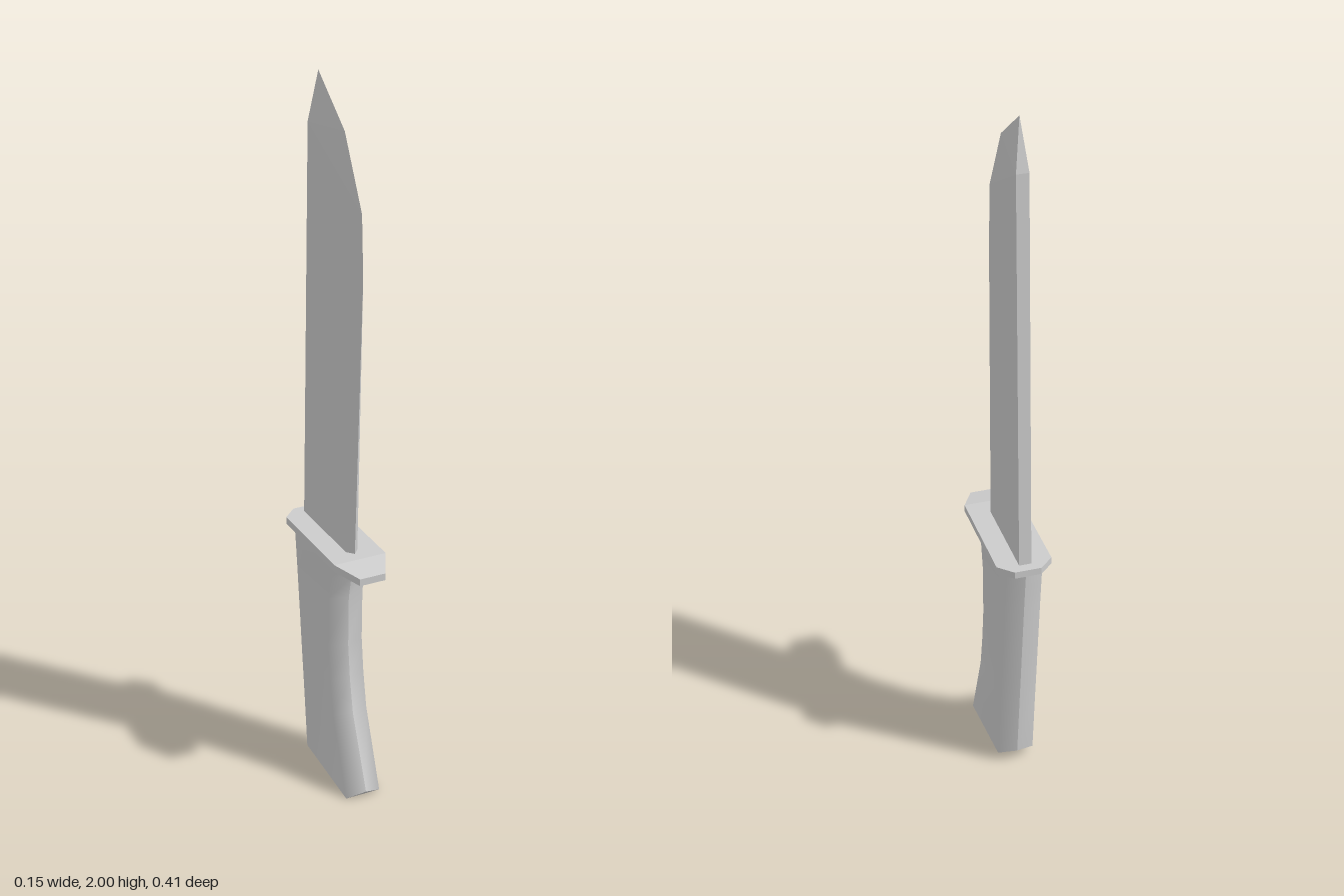
import * as THREE from 'three';

const material = new THREE.MeshStandardMaterial({ color: 0xcccccc });

function makeMesh(name, geometry) {
  const mesh = new THREE.Mesh(geometry, material);
  mesh.name = name;
  return mesh;
}

// Flat-shaded faces from a list of corner triples
function facets(corners) {
  const g = new THREE.BufferGeometry();
  g.setAttribute('position', new THREE.Float32BufferAttribute(corners.flat(), 3));
  g.computeVertexNormals();
  return g;
}

// Skin over a stack of equal-length cross-sections
function skin(sections, smooth) {
  const n = sections[0].length;
  const index = [];
  for (let i = 0; i < sections.length - 1; i++) {
    for (let j = 0; j < n - 1; j++) {
      const a = i * n + j, b = a + 1, c = b + n, d = a + n;
      index.push(a, b, c, a, c, d);
    }
  }
  let g = new THREE.BufferGeometry();
  g.setAttribute('position', new THREE.Float32BufferAttribute(sections.flat(2), 3));
  g.setIndex(index);
  if (!smooth) g = g.toNonIndexed();
  g.computeVertexNormals();
  return g;
}

// Blade: thick flat spine narrowing to a sharp edge and a clipped point
function createBlade() {
  const t = 0.017;
  const tip = [0, 2, -0.115];
  const edge = [[0, 0.72, 0.098], [0, 1.53, 0.14], [0, 1.7, 0.132], [0, 1.885, 0.035]];
  const corners = [];
  for (const s of [1, -1]) {
    const heel = [s * t, 0.72, 0.079];
    const spineLow = [s * t, 0.72, -0.181];
    const spineHigh = [s * t, 1.86, -0.143];
    const faces = [
      [spineLow, spineHigh, heel],
      [heel, edge[1], edge[0]],
      [heel, spineHigh, edge[1]],
      [spineHigh, edge[2], edge[1]],
      [spineHigh, edge[3], edge[2]],
      [spineHigh, tip, edge[3]],
    ];
    for (const f of faces) corners.push(...(s > 0 ? f : f.reverse()));
  }
  const [a, b, c, d] = [[t, 0.72, -0.181], [-t, 0.72, -0.181], [-t, 1.86, -0.143], [t, 1.86, -0.143]];
  corners.push(a, b, c, a, c, d, d, c, tip);
  return makeMesh('blade', facets(corners));
}

// Guard: thin elongated octagon whose front end dips
function createGuard() {
  const group = new THREE.Group();
  group.name = 'guard';
  // [z, half width, top y]
  const stations = [[-0.207, 0.037, 0.732], [-0.17, 0.076, 0.732], [0.13, 0.076, 0.732], [0.205, 0.037, 0.717]];
  const rings = stations.map(([z, w, y]) => [
    [w, y - 0.02, z], [w, y, z], [-w, y, z], [-w, y - 0.02, z], [w, y - 0.02, z],
  ]);
  const [p, q, r, s] = rings[0];
  const [e, f, g, h] = rings[3];
  group.add(makeMesh('guardPlate', skin(rings, false)));
  group.add(makeMesh('guardEnds', facets([p, r, q, p, s, r, e, f, g, e, g, h])));
  return group;
}

// Handle: curved grip with ridges down the front and back
function createHandle() {
  const group = new THREE.Group();
  group.name = 'handle';
  const w = 0.051;
  // [front ridge y, front ridge z, front side y, back side y, back ridge y, back ridge z]
  const levels = [
    [0.02, 0.173, 0, 0.027, 0.037, -0.116],
    [0.23, 0.09, 0.225, 0.23, 0.23, -0.136],
    [0.33, 0.071, 0.33, 0.33, 0.33, -0.147],
    [0.43, 0.06, 0.43, 0.43, 0.43, -0.157],
    [0.58, 0.063, 0.58, 0.58, 0.58, -0.173],
    [0.65, 0.078, 0.65, 0.65, 0.65, -0.181],
    [0.715, 0.1, 0.715, 0.715, 0.715, -0.189],
  ];
  const section = ([fy, fz, sy, by, ky, kz], s) => [
    [0, fy, fz], [s * w, sy, fz - 0.02], [s * w, by, kz + 0.018], [0, ky, kz],
  ];
  group.add(makeMesh('gripLeft', skin(levels.map((l) => section(l, 1)), true)));
  group.add(makeMesh('gripRight', skin(levels.map((l) => section(l, -1).reverse()), true)));

  // End faces
  const cap = (level) => {
    const [front, fl, bl, back] = section(level, 1);
    const [, fr, br] = section(level, -1);
    return [fl, bl, br, fl, br, fr, fr, front, fl, bl, back, br];
  };
  group.add(makeMesh('pommel', facets(cap(levels[0]).reverse())));
  group.add(makeMesh('gripTop', facets(cap(levels[levels.length - 1]))));
  return group;
}

export function createModel() {
  const model = new THREE.Group();
  model.name = 'knife';
  model.add(createBlade(), createGuard(), createHandle());
  return model;
}
